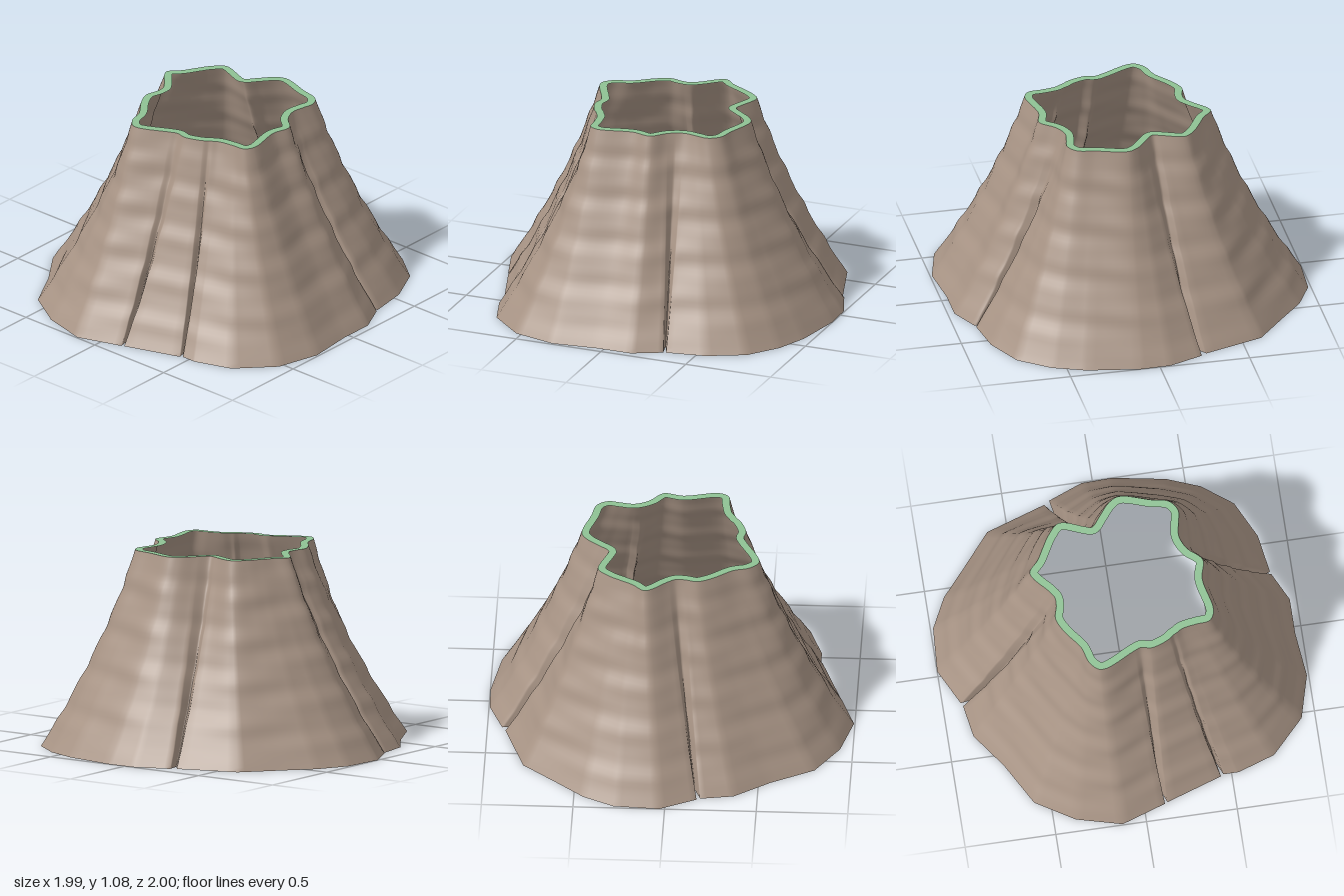
import * as THREE from 'three';

const HEIGHT = 1.08;
const RIM = 0.042;
const STEPS = 6;
const ROWS = 48;

// Matching control points round the trunk: base x, base z, cut x, cut z
const OUTLINE = [
  [0.11, -1, 0.07, -0.5], [0.4, -0.95, 0.24, -0.455],
  [0.58, -0.88, 0.34, -0.43], [0.745, -0.755, 0.38, -0.37], [0.845, -0.55, 0.37, -0.3],
  [0.88, -0.335, 0.36, -0.23], [0.79, -0.295, 0.375, -0.18], [0.885, -0.32, 0.4, -0.14],
  [0.963, -0.16, 0.47, -0.07], [0.963, 0.04, 0.45, 0.04], [0.99, 0.29, 0.485, 0.23],
  [0.925, 0.53, 0.455, 0.285], [0.745, 0.72, 0.38, 0.295], [0.54, 0.79, 0.3, 0.31],
  [0.455, 0.79, 0.265, 0.33], [0.425, 0.72, 0.245, 0.34], [0.44, 0.8, 0.22, 0.36],
  [0.13, 0.905, 0.12, 0.395], [0.1, 0.83, 0.06, 0.385], [0.115, 0.912, 0.02, 0.4],
  [-0.13, 0.995, -0.17, 0.48], [-0.38, 0.93, -0.23, 0.43], [-0.59, 0.8, -0.26, 0.34],
  [-0.72, 0.565, -0.34, 0.23], [-0.86, 0.37, -0.375, 0.15], [-0.89, 0.19, -0.36, 0.08],
  [-0.8, 0.155, -0.36, 0.03], [-0.9, 0.17, -0.385, -0.01], [-1, -0.03, -0.475, -0.13],
  [-0.985, -0.28, -0.42, -0.2], [-0.9, -0.45, -0.38, -0.27], [-0.77, -0.6, -0.34, -0.335],
  [-0.61, -0.79, -0.275, -0.395], [-0.28, -0.9, -0.14, -0.355], [-0.235, -0.84, -0.1, -0.345],
  [-0.25, -0.92, -0.05, -0.4], [-0.06, -0.995, 0.01, -0.47],
];
const SIDES = OUTLINE.length * STEPS;

// Angular foot with tight folds, smoothly waved cut
function footRing() {
  return Array.from({ length: SIDES }, (_, i) => {
    const k = Math.floor(i / STEPS), f = (i % STEPS) / STEPS;
    const a = OUTLINE[k], b = OUTLINE[(k + 1) % OUTLINE.length];
    return new THREE.Vector3(a[0] + (b[0] - a[0]) * f, 0, a[1] + (b[1] - a[1]) * f);
  });
}

function cutRing() {
  const points = OUTLINE.map(p => new THREE.Vector3(p[2], HEIGHT, p[3]));
  const curve = new THREE.CatmullRomCurve3(points, true, 'centripetal');
  return Array.from({ length: SIDES }, (_, i) => curve.getPoint(i / SIDES));
}

// Joins closed rings of points into one smooth surface
function loft(rings) {
  const position = rings.flat().flatMap(p => [p.x, p.y, p.z]);
  const index = [];
  for (let r = 0; r < rings.length - 1; r++) {
    for (let i = 0; i < SIDES; i++) {
      const a = r * SIDES + i, b = r * SIDES + (i + 1) % SIDES;
      index.push(a, a + SIDES, b, b, a + SIDES, b + SIDES);
    }
  }
  const geometry = new THREE.BufferGeometry();
  geometry.setAttribute('position', new THREE.Float32BufferAttribute(position, 3));
  geometry.setIndex(index);
  geometry.computeVertexNormals();
  return geometry;
}

export function createModel() {
  const bark = new THREE.MeshStandardMaterial({ name: 'bark brown', color: 0xa89485, side: THREE.DoubleSide });
  const cut = new THREE.MeshStandardMaterial({ name: 'rim green', color: 0x8fc294, side: THREE.DoubleSide });
  const foot = footRing(), top = cutRing();

  // Flared bark wall, open at both ends, with faint horizontal ripples
  const walls = [];
  for (let r = 0; r <= ROWS; r++) {
    const u = r / ROWS;
    const t = u + 0.32 * u * (1 - u);
    const fade = Math.min(1, u * 8, (1 - u) * 8);
    walls.push(foot.map((p, i) => {
      const q = p.clone().lerp(top[i], t);
      const angle = Math.atan2(q.z, q.x);
      const ripple = 0.0015 * Math.sin(u * 62 + 1.2 * Math.sin(angle * 2))
        + 0.004 * Math.sin(u * 32 + 2 * Math.sin(angle * 3 + 1));
      const grow = 1 + fade * ripple / Math.hypot(q.x, q.z);
      return q.set(q.x * grow, u * HEIGHT, q.z * grow);
    }));
  }
  const wall = new THREE.Mesh(loft(walls), bark);
  wall.name = 'barkWall';

  // Flat rim following the cut, inset along the outline's normals
  const inner = top.map((p, i) => {
    const d = top[(i + 1) % SIDES].clone().sub(top[(i + SIDES - 1) % SIDES]).normalize();
    return new THREE.Vector3(p.x - d.z * RIM, HEIGHT, p.z + d.x * RIM);
  });
  const rim = new THREE.Mesh(loft([top, inner]), cut);
  rim.name = 'cutRim';

  const stump = new THREE.Group();
  stump.name = 'hollowStump';
  stump.add(wall, rim);
  return stump;
}
